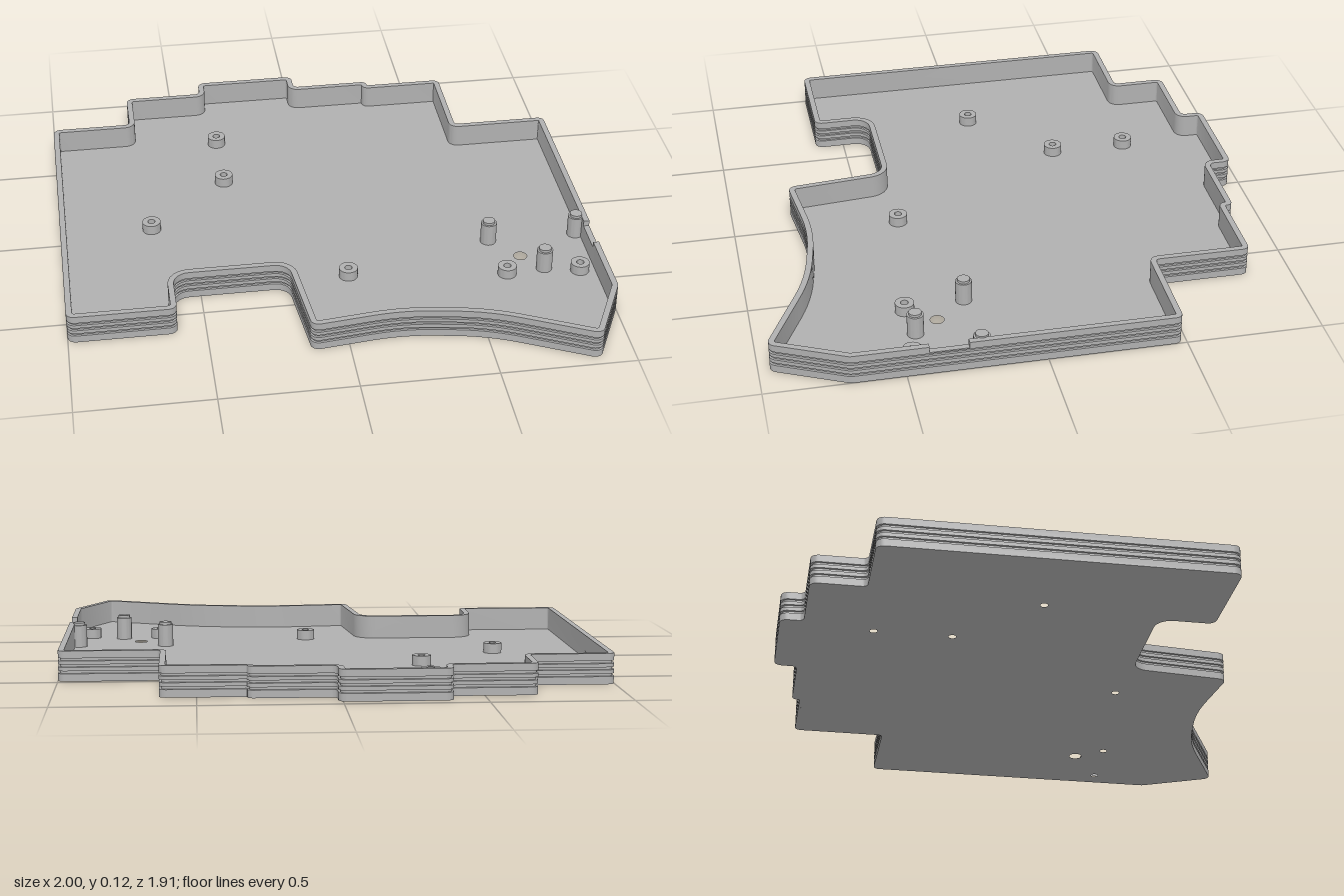
import * as THREE from 'three';
import { toCreasedNormals } from 'three/addons/utils/BufferGeometryUtils.js';

const FLOOR = 0.022, TOP = 0.112, WALL = 0.022, CUT = 0.09;

// Plan outline: corner x, z and rounding radius
const CORNERS = [
  [-1, -0.667, 0.03], [-0.69, -0.667, 0.02], [-0.69, -0.87, 0.03], [-0.383, -0.87, 0.02],
  [-0.383, -0.957, 0.03], [0.015, -0.957, 0.03], [0.015, -0.87, 0.02], [0.325, -0.87, 0.022],
  [0.325, -0.84, 0.005], [0.63, -0.84, 0.025], [0.63, -0.482, 0.015], [1, -0.482, 0.025],
  [1, 0.695, 0.03], [0.872, 0.968, 0.03], [0.5, 0.787, 0.8], [0.2, 0.737, 0.8],
  [-0.137, 0.777, 0.03], [-0.174, 0.397, 0.06], [-0.603, 0.397, 0.06], [-0.603, 0.61, 0.03],
  [-1, 0.61, 0.03],
];
const CUT_AFTER = 11; // corner before the lowered stretch of the right-hand edge

// Outline moved inward by d, always with the same number of points
function contour(d) {
  const n = CORNERS.length, K = 6, out = [];
  const dir = (a, b) => new THREE.Vector2(b[0] - a[0], b[1] - a[1]).normalize();
  CORNERS.forEach((p, i) => {
    const d1 = dir(CORNERS[(i + n - 1) % n], p), d2 = dir(p, CORNERS[(i + 1) % n]);
    const n1 = new THREE.Vector2(-d1.y, d1.x), n2 = new THREE.Vector2(-d2.y, d2.x);
    const turn = Math.atan2(d1.cross(d2), d1.dot(d2)), s = Math.sign(turn);
    const r = Math.max(p[2] - s * d, 0.001);
    const centre = new THREE.Vector2(p[0], p[1])
      .addScaledVector(n1.clone().add(n2), d / (1 + n1.dot(n2)))
      .addScaledVector(d1, -r * Math.tan(Math.abs(turn) / 2))
      .addScaledVector(n1, s * r);
    for (let k = 0; k <= K; k++) {
      const c = Math.cos(turn * k / K), q = Math.sin(turn * k / K);
      out.push({
        x: centre.x - s * r * (n1.x * c - n1.y * q),
        z: centre.y - s * r * (n1.x * q + n1.y * c), low: false,
      });
    }
    if (i === CUT_AFTER) {
      for (const [z, low] of [[0.28, false], [0.28, true], [0.42, true], [0.42, false]]) out.push({ x: 1 - d, z, low });
    }
  });
  return out;
}

// Wall: a cross-section of [inset, height] swept round the outline
function wallGeometry(profile) {
  const pos = [], idx = [];
  let n = 0;
  profile.forEach(([d, y]) => {
    const ring = contour(d);
    n = ring.length;
    ring.forEach(p => pos.push(p.x, p.low ? Math.min(y, CUT) : y, p.z));
  });
  for (let j = 0; j < profile.length - 1; j++) {
    for (let i = 0; i < n; i++) {
      const a = j * n + i, b = j * n + (i + 1) % n;
      idx.push(a, a + n, b + n, a, b + n, b);
    }
  }
  const g = new THREE.BufferGeometry();
  g.setAttribute('position', new THREE.Float32BufferAttribute(pos, 3));
  g.setIndex(idx);
  return toCreasedNormals(g, 0.5);
}

export function createModel() {
  const model = new THREE.Group();
  const grey = new THREE.MeshStandardMaterial({ color: 0xb0b0b0 });
  grey.name = 'grey';
  const add = (name, geometry, x = 0, z = 0) => {
    const m = new THREE.Mesh(geometry, grey);
    m.name = name;
    m.position.set(x, 0, z);
    model.add(m);
  };

  const screwPosts = [[0.645, 0.45], [0.92, 0.467], [0.055, 0.378], [-0.65, -0.03], [-0.34, -0.32], [-0.34, -0.612]];
  const supportPosts = [[0.62, 0.23], [0.96, 0.23], [0.79, 0.435]];

  // Floor plate with screw holes and one larger opening
  const plan = new THREE.Shape(contour(0.01).map(p => new THREE.Vector2(p.x, -p.z)));
  for (const [x, z, r] of [...screwPosts.map(p => [...p, 0.014]), [0.72, 0.345, 0.025]]) {
    plan.holes.push(new THREE.Path().absarc(x, -z, r, 0, Math.PI * 2, true));
  }
  const floor = new THREE.ExtrudeGeometry(plan, { depth: FLOOR, bevelEnabled: false, curveSegments: 24 });
  add('floor', floor.rotateX(-Math.PI / 2));

  // Rim wall with three grooves round the outside
  const profile = [[0.01, 0], [0, 0]];
  for (const y of [0.033, 0.057, 0.08]) {
    profile.push([0, y - 0.005], [0.007, y - 0.004], [0.007, y + 0.004], [0, y + 0.005]);
  }
  profile.push([0, TOP], [WALL, TOP], [WALL, FLOOR - 0.002]);
  add('wall', wallGeometry(profile));

  // Posts turned from a profile
  const turned = pts => toCreasedNormals(
    new THREE.LatheGeometry(pts.map(([r, y]) => new THREE.Vector2(r, y)), 28), 0.5);
  const screwPost = turned([[0.035, FLOOR - 0.002], [0.035, 0.06], [0.014, 0.06], [0.014, FLOOR - 0.002]]);
  const supportPost = turned([[0.03, FLOOR - 0.002], [0.03, 0.108], [0.023, 0.108], [0.023, 0.118], [0, 0.118]]);
  screwPosts.forEach(([x, z]) => add('screwPost', screwPost, x, z));
  supportPosts.forEach(([x, z]) => add('supportPost', supportPost, x, z));
  return model;
}
